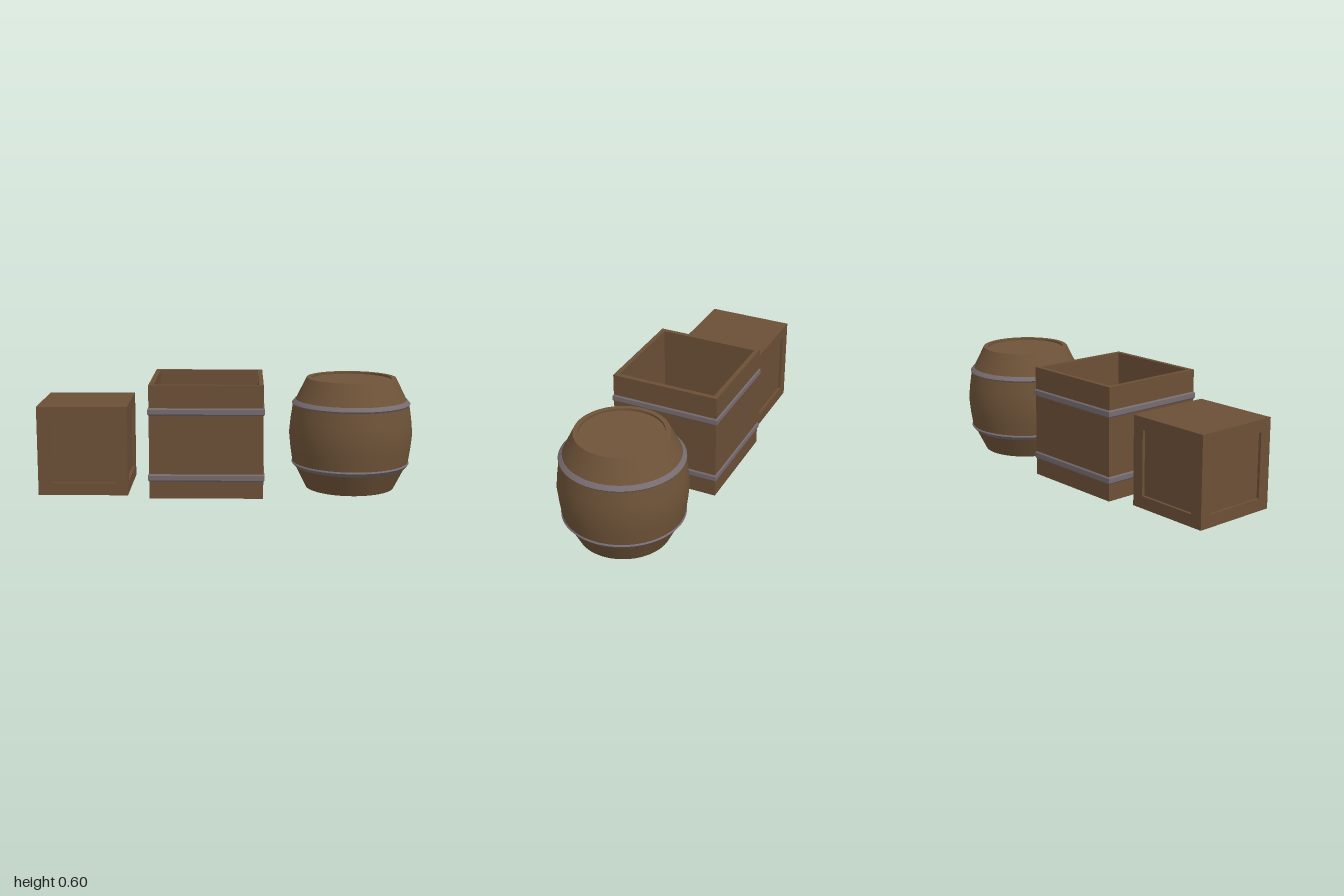
import * as THREE from 'three';

const mat = (name, color) => {
  const m = new THREE.MeshStandardMaterial({ color });
  m.name = name;
  return m;
};

export function createModel() {
  const crateWood = mat('crate wood', 0x6b4f36);
  const barrelWood = mat('barrel wood', 0x6e5338);
  const iron = mat('iron', 0x766b6f);
  const model = new THREE.Group();

  const group = (name, x, z) => {
    const g = new THREE.Group();
    g.name = name;
    g.position.set(x, 0, z);
    model.add(g);
    return g;
  };
  const add = (parent, name, geometry, material, x = 0, y = 0, z = 0, ry = 0) => {
    const mesh = new THREE.Mesh(geometry, material);
    mesh.name = name;
    mesh.position.set(x, y, z);
    mesh.rotation.y = ry;
    parent.add(mesh);
  };
  const vectors = (points, s = 1) => points.map(([r, y]) => new THREE.Vector2(r * s, y));
  const round = (points) => new THREE.LatheGeometry(vectors(points), 64);
  // Square sweep: the profile gives half widths instead of radii
  const square = (points) => {
    const g = new THREE.LatheGeometry(vectors(points, Math.SQRT2), 4, Math.PI / 4).toNonIndexed();
    g.computeVertexNormals();
    return g;
  };

  // Closed crate: core with a raised frame on each of its four sides
  const crate = group('closedCrate', -0.7625, 0);
  const size = 0.475, depth = 0.015, core = size - 2 * depth;
  add(crate, 'crateCore', new THREE.BoxGeometry(core, size, core), crateWood, 0, size / 2, 0);
  const frame = (width) => {
    const h = size / 2, w = width / 2, p = 0.172;
    const shape = new THREE.Shape(vectors([[-w, -h], [w, -h], [w, h], [-w, h]]));
    shape.holes.push(new THREE.Path(vectors([[-p, -p], [-p, p], [p, p], [p, -p]])));
    return new THREE.ExtrudeGeometry(shape, { depth, bevelEnabled: false });
  };
  for (let i = 0; i < 4; i++) {
    const a = i * Math.PI / 2;
    add(crate, 'crateFrame', frame(i % 2 ? core : size), crateWood,
      Math.sin(a) * core / 2, size / 2, Math.cos(a) * core / 2, a);
  }

  // Open crate: underside, outer wall, rim, inner wall and floor in one sweep
  const open = group('openCrate', -0.1075, 0.003);
  add(open, 'openCrateBody', square([
    [0, 0], [0.298, 0], [0.298, 0.6], [0.273, 0.6], [0.273, 0.03], [0, 0.03],
  ]), crateWood);
  for (const y of [0.088, 0.438]) {
    add(open, 'crateBand', square([
      [0.296, y], [0.304, y + 0.01], [0.304, y + 0.035], [0.296, y + 0.045],
    ]), iron);
  }

  // Barrel: bulging middle, then mirrored ends
  const barrel = group('barrel', 0.667, 0);
  add(barrel, 'barrelMiddle', round([
    [0.313, 0.14], [0.325, 0.22], [0.333, 0.3], [0.325, 0.38], [0.313, 0.46],
  ]), barrelWood);
  const ends = [
    ['barrelLid', barrelWood, [[0, 0.012], [0.215, 0.012]]],
    ['barrelRimInside', barrelWood, [[0.215, 0.012], [0.215, 0]]],
    ['barrelRim', barrelWood, [[0.215, 0], [0.24, 0]]],
    ['barrelSlope', barrelWood, [[0.24, 0], [0.302, 0.125]]],
    ['hoopUnderside', iron, [[0.298, 0.117], [0.302, 0.117], [0.319, 0.137]]],
    ['hoopFace', iron, [[0.319, 0.137], [0.313, 0.146], [0.308, 0.146]]],
  ];
  for (const [name, material, points] of ends) {
    add(barrel, name, round(points), material);
    add(barrel, name, round(points.map(([r, y]) => [r, 0.6 - y]).reverse()), material);
  }
  return model;
}
